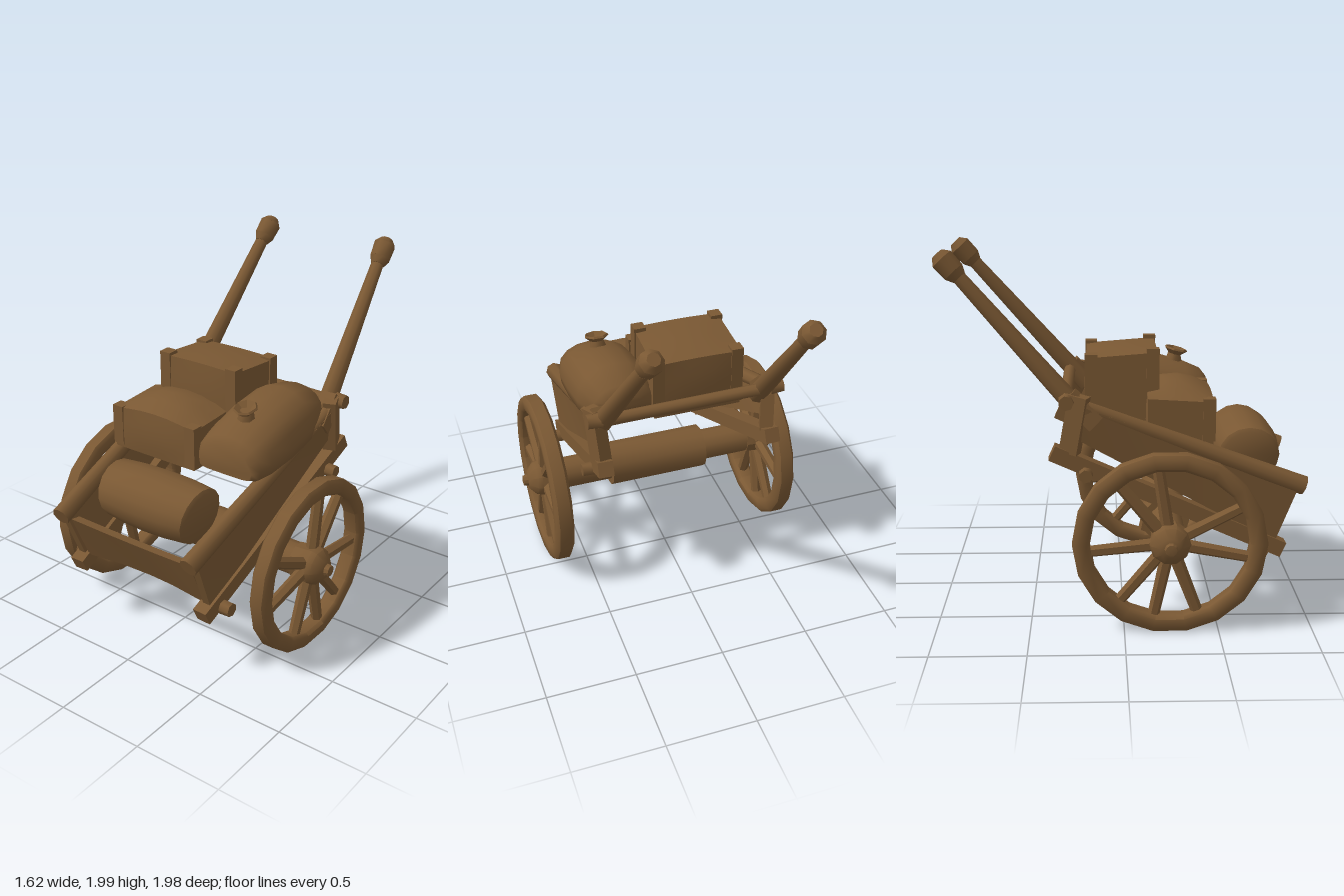
import * as THREE from 'three';
import { toCreasedNormals } from 'three/addons/utils/BufferGeometryUtils.js';

const wood = new THREE.MeshStandardMaterial({ color: 0x7a5833, side: THREE.DoubleSide });
wood.name = 'brown wood';
const V = (x, y, z) => new THREE.Vector3(x, y, z);

export function createModel() {
  const cart = new THREE.Group();
  cart.name = 'handCart';

  function add(name, geo, parent = cart, crease = 0.7) {
    const mesh = new THREE.Mesh(toCreasedNormals(geo, crease), wood);
    mesh.name = name;
    parent.add(mesh);
    return mesh;
  }
  // round bar between two points
  function bar(name, a, b, ra, rb = ra, sides = 8, parent = cart) {
    const mesh = add(name, new THREE.CylinderGeometry(rb, ra, a.distanceTo(b), sides), parent, 0.9);
    mesh.position.copy(a).lerp(b, 0.5);
    mesh.quaternion.setFromUnitVectors(V(0, 1, 0), b.clone().sub(a).normalize());
  }
  // square beam between two points
  function beam(name, a, b, w, h) {
    const mesh = add(name, new THREE.BoxGeometry(w, h, a.distanceTo(b)));
    mesh.position.copy(a).lerp(b, 0.5);
    mesh.lookAt(b);
  }
  // turned shape from [radius, height] points
  const lathe = (points, sides) => new THREE.LatheGeometry(points.map(p => new THREE.Vector2(...p)), sides);
  // closed skin over a list of equal rings, counter-clockwise seen from the last ring
  function loft(rings) {
    const n = rings[0].length, pos = rings.flat().flatMap(p => [p.x, p.y, p.z]), idx = [];
    for (let i = 0; i < rings.length - 1; i++) {
      for (let j = 0; j < n; j++) {
        const a = i * n + j, b = i * n + (j + 1) % n;
        idx.push(a, b, b + n, a, b + n, a + n);
      }
    }
    const e = (rings.length - 1) * n;
    for (let j = 1; j < n - 1; j++) idx.push(0, j + 1, j, e, e + j, e + j + 1);
    const g = new THREE.BufferGeometry();
    g.setAttribute('position', new THREE.Float32BufferAttribute(pos, 3));
    g.setIndex(idx);
    g.computeVertexNormals();
    return g;
  }

  // wheels with eight unevenly set spokes and a capped hub
  const spokeAngles = [-9, 63, 101, 159, 192, 220, 264, 320];
  for (const s of [1, -1]) {
    const wheel = new THREE.Group();
    wheel.name = s > 0 ? 'leftWheel' : 'rightWheel';
    wheel.position.set(s * 0.675, 0.49, 0.24);
    cart.add(wheel);
    const section = [[0.408, -0.035], [0.425, -0.052], [0.475, -0.052], [0.497, -0.035],
      [0.497, 0.035], [0.475, 0.052], [0.425, 0.052], [0.408, 0.035], [0.408, -0.035]];
    const rim = lathe(section, 18);
    rim.rotateZ(Math.PI / 2);
    rim.scale(1, 0.985, 1.035);
    add('rim', rim, wheel, 0.8);
    for (const angle of spokeAngles) {
      const a = angle * Math.PI / 180;
      const d = V(0, Math.cos(a), Math.sin(a));
      bar('spoke', d.clone().multiplyScalar(0.06), d.clone().multiplyScalar(0.435), 0.036, 0.031, 6, wheel);
    }
    const hub = lathe([[0, -0.08], [0.1, -0.08], [0.11, 0.03], [0.1, 0.06], [0.055, 0.1],
      [0.035, 0.105], [0.03, 0.13], [0, 0.135]], 10);
    hub.rotateZ(-s * Math.PI / 2);
    add('hub', hub, wheel, 0.6);
  }
  bar('axle', V(-0.68, 0.49, 0.24), V(0.68, 0.49, 0.24), 0.093, 0.093, 12);
  bar('axleSleeve', V(-0.31, 0.49, 0.24), V(0.28, 0.49, 0.24), 0.13, 0.13, 12);

  // side frames: rails, sloping board, strut and long handle
  for (const s of [1, -1]) {
    const P = (x, y, z) => V(s * x - 0.025, y, z);
    beam('lowerRail', P(0.435, 0.38, 0.865), P(0.485, 0.945, -0.38), 0.085, 0.085);
    bar('upperRail', P(0.44, 0.735, 0.975), P(0.495, 1.2, -0.25), 0.053, 0.038, 8);
    const rings = [0, 0.33, 0.67, 1].map(t => {
      const top = V(0.455 + 0.055 * t, 0.76 + 0.43 * t, 0.95 - 1.16 * t);
      const low = V(0.44 + 0.04 * t, 0.42 + 0.6 * t, 0.82 - 1.08 * t);
      const ring = [[top, 0.022], [top, -0.022], [low, -0.022], [low, 0.022]]
        .map(([p, d]) => P(p.x + d, p.y, p.z));
      return s > 0 ? ring.reverse() : ring;
    });
    add('sideBoard', loft(rings), cart, 0.4);
    beam('strut', P(0.505, 1.25, -0.23), P(0.485, 0.94, -0.285), 0.075, 0.1);
    beam('handleSocket', P(0.49, 1.1, -0.14), P(0.475, 1.24, -0.29), 0.085, 0.1);
    bar('handle', P(0.46, 1.12, -0.2), P(0.405, 1.9, -0.885), 0.056, 0.036, 8);
    bar('knobNeck', P(0.409, 1.855, -0.845), P(0.407, 1.885, -0.873), 0.04, 0.06, 8);
    bar('handleKnob', P(0.407, 1.885, -0.873), P(0.402, 1.95, -0.933), 0.06, 0.064, 8);
    bar('knobCap', P(0.402, 1.95, -0.933), P(0.4, 1.977, -0.958), 0.064, 0.035, 8);
    // pegs through the rails
    bar('frontPeg', P(0.44, 0.395, 0.74), P(0.54, 0.395, 0.74), 0.042, 0.038, 7);
    bar('rearPeg', P(0.46, 0.83, -0.2), P(0.575, 0.83, -0.2), 0.042, 0.036, 7);
    bar('crossbarPeg', P(0.48, 1.22, -0.3), P(0.56, 1.22, -0.3), 0.046, 0.04, 7);
  }
  bar('rearCrossbar', V(-0.52, 1.22, -0.3), V(0.48, 1.21, -0.3), 0.034);

  // bowed tailboard, sloping outward to its top edge
  const boardRings = [-0.43, -0.2, 0, 0.16, 0.39].map(x => {
    const b = 0.025 * (1 - ((x + 0.02) / 0.41) ** 2);
    const low = 0.43 + b * 0.4;
    return [V(x, low, 0.76 - b), V(x, 0.7 - b, 0.87 - b), V(x, 0.71 - b, 0.93 - b), V(x, low, 0.81 - b)];
  });
  add('tailboard', loft(boardRings), cart, 0.5);

  // hollow bulging bundles, open underneath, with corner posts
  function bundle(name, x0, x1, y0, y1, z0, z1, bulge, tilt, corners) {
    const w = x1 - x0, h = y1 - y0, d = z1 - z0;
    const g = new THREE.BoxGeometry(w, h, d, 6, 4, 4);
    const { start, count } = g.groups[3];
    g.setIndex(Array.from(g.index.array).filter((_, i) => i < start || i >= start + count));
    g.clearGroups();
    const p = g.attributes.position;
    for (let i = 0; i < p.count; i++) {
      const x = p.getX(i), y = p.getY(i), z = p.getZ(i);
      const u = 1 - (2 * x / w) ** 2, v = 1 - (2 * z / d) ** 2, t = 1 - (2 * y / h) ** 2;
      if (y > 0) p.setY(i, y + (2 * y / h) * bulge * u * (0.35 + 0.65 * v) + tilt * z / d);
      p.setZ(i, z * (1 + 0.07 * u * t));
    }
    g.computeVertexNormals();
    add(name, g, cart, 0.8).position.set((x0 + x1) / 2, (y0 + y1) / 2, (z0 + z1) / 2);
    for (const [cx, cz] of corners) {
      const x = cx < 0 ? x0 + 0.025 : x1 - 0.025, z = cz < 0 ? z0 + 0.025 : z1 - 0.025;
      beam('cornerPost', V(x, y0 + 0.02, z), V(x, y1 + 0.02 + tilt * cz / 2, z + 0.001), 0.068, 0.068);
    }
  }
  bundle('backCrate', -0.38, 0.125, 1.08, 1.435, -0.195, 0.185, 0.02, 0.03, [[-1, -1], [1, -1], [-1, 1], [1, 1]]);
  bundle('frontBundle', -0.485, 0.07, 0.97, 1.21, 0.13, 0.48, 0.09, -0.02, [[-1, 1], [1, 1]]);

  // slumped sack with flattened underside
  const sackSections = [[-0.205, 1.19, 1.27, 0.1], [-0.17, 1.13, 1.325, 0.17], [0, 1.07, 1.36, 0.215],
    [0.2, 1.035, 1.33, 0.222], [0.38, 1.02, 1.275, 0.218], [0.47, 1.02, 1.235, 0.2], [0.505, 1.03, 1.19, 0.17]];
  const sackRings = sackSections.map(([z, y0, y1, w]) => Array.from({ length: 16 }, (_, i) => {
    const a = i / 16 * Math.PI * 2, c = Math.cos(a), q = Math.sin(a);
    const k = q < 0 ? 0.4 : 0.9;
    const mid = y0 + (y1 - y0) * 0.3;
    const y = mid + Math.sign(q) * Math.abs(q) ** k * (q > 0 ? y1 - mid : mid - y0);
    return V(0.295 + Math.sign(c) * Math.abs(c) ** k * w, y, z);
  }));
  add('sack', loft(sackRings), cart, 1.0);
  bar('sackNeck', V(0.295, 1.25, 0.31), V(0.3, 1.335, 0.32), 0.06, 0.035, 7);
  const mouth = lathe([[0.03, 0], [0.07, 0.035], [0.062, 0.045], [0.025, 0.015], [0, 0.015]], 7);
  const mouthMesh = add('sackMouth', mouth, cart, 0.5);
  mouthMesh.position.set(0.3, 1.315, 0.32);
  mouthMesh.rotation.x = 0.25;

  // bedroll lying across the front, tapered toward its underside
  const roll = lathe([[0, -0.305], [0.145, -0.305], [0.168, -0.29], [0.182, -0.15], [0.187, 0],
    [0.182, 0.15], [0.168, 0.29], [0.145, 0.305], [0, 0.305]], 16);
  roll.rotateZ(Math.PI / 2);
  const rp = roll.attributes.position;
  for (let i = 0; i < rp.count; i++) {
    rp.setX(i, rp.getX(i) * (0.96 + 0.35 * rp.getY(i)));
    rp.setY(i, rp.getY(i) * 0.92);
  }
  roll.computeVertexNormals();
  add('bedroll', roll, cart, 0.8).position.set(0, 0.86, 0.7);

  return cart;
}
